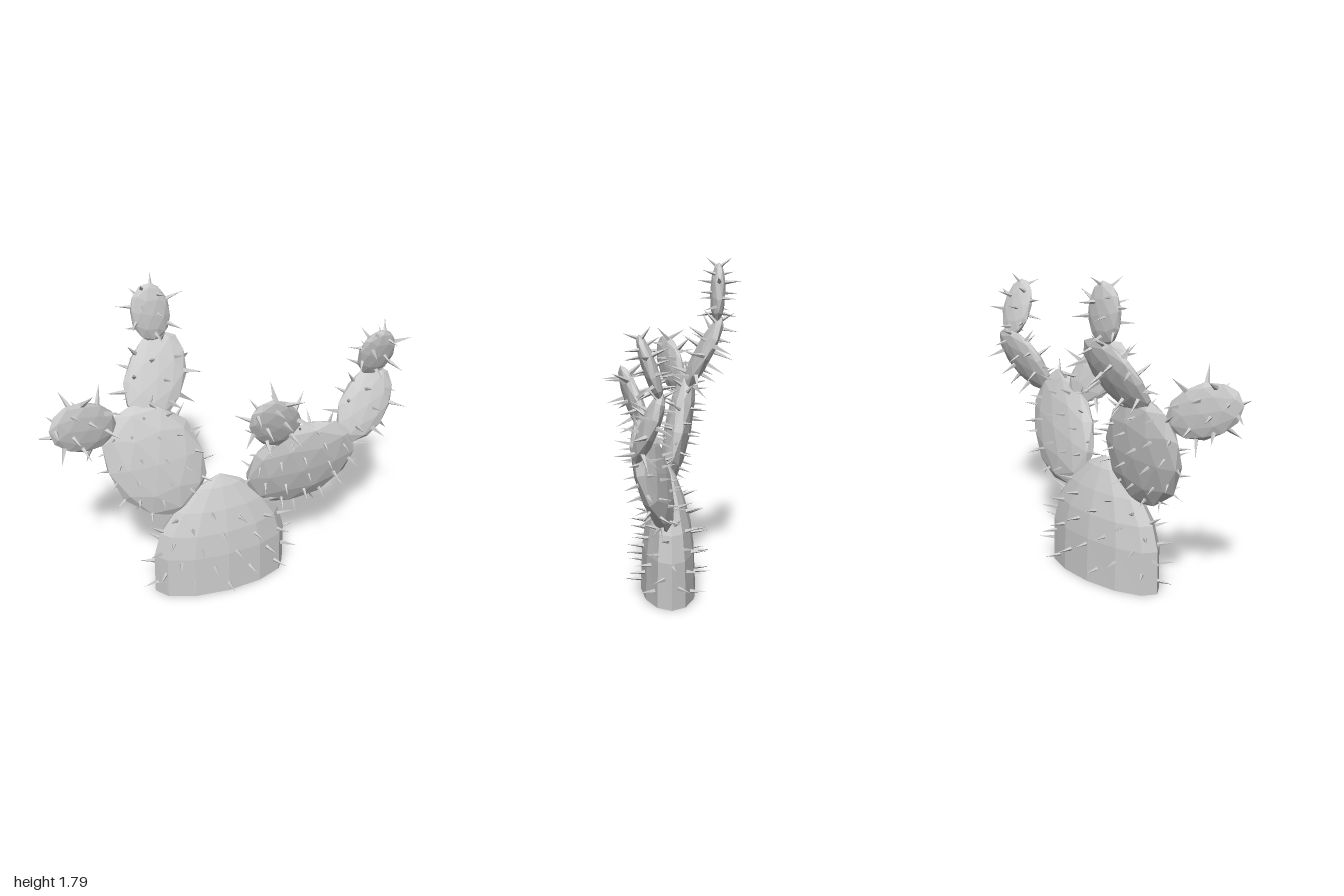
import * as THREE from 'three';
import { mergeGeometries } from 'three/addons/utils/BufferGeometryUtils.js';

const GOLDEN = Math.PI * (3 - Math.sqrt(5));
const UP = new THREE.Vector3(0, 1, 0);
const V = (x, y, z) => new THREE.Vector3(x, y, z);
const material = new THREE.MeshStandardMaterial({
  color: 0xcccccc, flatShading: true, side: THREE.DoubleSide,
});

function mesh(name, geometry) {
  const m = new THREE.Mesh(geometry, material);
  m.name = name;
  return m;
}

// One four-sided spine rooted at p and pointing along dir
function spine(p, dir, length) {
  const g = new THREE.ConeGeometry(length * 0.13, length, 4);
  g.translate(0, length * 0.38, 0);
  g.applyQuaternion(new THREE.Quaternion().setFromUnitVectors(UP, dir));
  return g.translate(p.x, p.y, p.z);
}

// Flattened low-poly pad with spines; `lean` is the axis direction seen from the front
function pad({ name, at, lean, normal, size, spines, length }) {
  const group = new THREE.Group();
  group.name = name;
  const s = V(...size);

  const body = new THREE.IcosahedronGeometry(1, 1);
  body.rotateZ(0.3).scale(s.x * 1.03, s.y * 1.03, s.z * 1.05);
  group.add(mesh(name + 'Body', body));

  const list = [];
  for (let i = 0; i < spines; i++) {
    const z = 1 - (2 * (i + 0.5)) / spines;
    const r = Math.sqrt(1 - z * z);
    const p = V(r * Math.cos(i * GOLDEN), r * Math.sin(i * GOLDEN), z);
    if (p.y < -0.8 || p.y > 0.93) continue;
    const dir = p.clone().divide(s).normalize();
    list.push(spine(p.multiply(s).multiplyScalar(0.97), dir, length * (0.85 + 0.3 * ((i * 0.37) % 1))));
  }
  group.add(mesh(name + 'Spines', mergeGeometries(list)));

  // Lay the pad in the plane given by its normal
  const n = V(...normal);
  const axis = V(lean[0], lean[1], -(n.x * lean[0] + n.y * lean[1]) / n.z).normalize();
  n.normalize();
  group.quaternion.setFromRotationMatrix(
    new THREE.Matrix4().makeBasis(axis.clone().cross(n), axis, n));
  group.position.set(...at);
  return group;
}

// Broad domed trunk, oval in plan, thinning upwards and open underneath
function trunk() {
  const group = new THREE.Group();
  group.name = 'trunk';
  const profile = [[1, 0], [1, 0.25], [0.9, 0.39], [0.67, 0.52], [0.33, 0.64], [0, 0.705]];
  const w = 0.387;
  const depth = (y) => 0.15 * (1 - 0.25 * y);
  const body = new THREE.LatheGeometry(profile.map(([r, y]) => new THREE.Vector2(r, y)), 12);
  const pos = body.attributes.position;
  for (let i = 0; i < pos.count; i++) {
    pos.setX(i, pos.getX(i) * w);
    pos.setZ(i, pos.getZ(i) * depth(pos.getY(i)));
  }
  group.add(mesh('trunkBody', body));

  const list = [], count = 50;
  for (let i = 0; i < count; i++) {
    const y = 0.05 + 0.48 * ((i + 0.5) / count);
    const k = profile.findIndex((q) => q[1] > y);
    const [r0, y0] = profile[k - 1], [r1, y1] = profile[k];
    const r = r0 + ((r1 - r0) * (y - y0)) / (y1 - y0);
    const a = i * GOLDEN, d = depth(y);
    const dir = V(Math.sin(a) / w, (r0 - r1) / (y1 - y0), Math.cos(a) / d).normalize();
    list.push(spine(V(Math.sin(a) * r * w * 0.97, y, Math.cos(a) * r * d * 0.97), dir, 0.105));
  }
  group.add(mesh('trunkSpines', mergeGeometries(list)));
  group.position.set(-0.015, 0, 0.02);
  return group;
}

export function createModel() {
  const model = new THREE.Group();
  model.name = 'pricklyPear';
  model.add(trunk());

  const pads = [
    // Right branch, leaning back
    { name: 'rightLowerPad', at: [-0.355, 0.83, -0.055], lean: [-0.27, 0.61], normal: [-0.07, 0.2, 1], size: [0.258, 0.345, 0.073], spines: 54, length: 0.085 },
    { name: 'rightMiddlePad', at: [-0.295, 1.255, -0.19], lean: [0.22, 0.4], normal: [0, 0.48, 1], size: [0.162, 0.245, 0.045], spines: 25, length: 0.12 },
    { name: 'rightTopPad', at: [-0.285, 1.595, -0.27], lean: [-0.04, 0.33], normal: [0, 0.04, 1], size: [0.105, 0.165, 0.04], spines: 18, length: 0.095 },
    { name: 'rightSidePad', at: [-0.74, 1.14, -0.035], lean: [-0.37, 0.2], normal: [0.33, 0, 1], size: [0.138, 0.212, 0.04], spines: 23, length: 0.115 },
    // Left branch, leaning forward
    { name: 'leftLowerPad', at: [0.415, 0.735, 0.12], lean: [0.46, 0.52], normal: [-0.19, -0.24, 1], size: [0.258, 0.335, 0.068], spines: 54, length: 0.085 },
    { name: 'leftInnerPad', at: [0.225, 1.08, 0.205], lean: [-0.29, 0.34], normal: [0.2, -0.27, 1], size: [0.13, 0.22, 0.04], spines: 23, length: 0.115 },
    { name: 'leftOuterPad', at: [0.767, 1.05, 0.155], lean: [0.27, 0.34], normal: [0, 0.36, 1], size: [0.14, 0.215, 0.045], spines: 23, length: 0.105 },
    { name: 'leftTopPad', at: [0.82, 1.35, 0.15], lean: [-0.02, 0.3], normal: [0, -0.33, 1], size: [0.105, 0.165, 0.035], spines: 18, length: 0.095 },
  ];
  pads.forEach((p) => model.add(pad(p)));
  return model;
}
